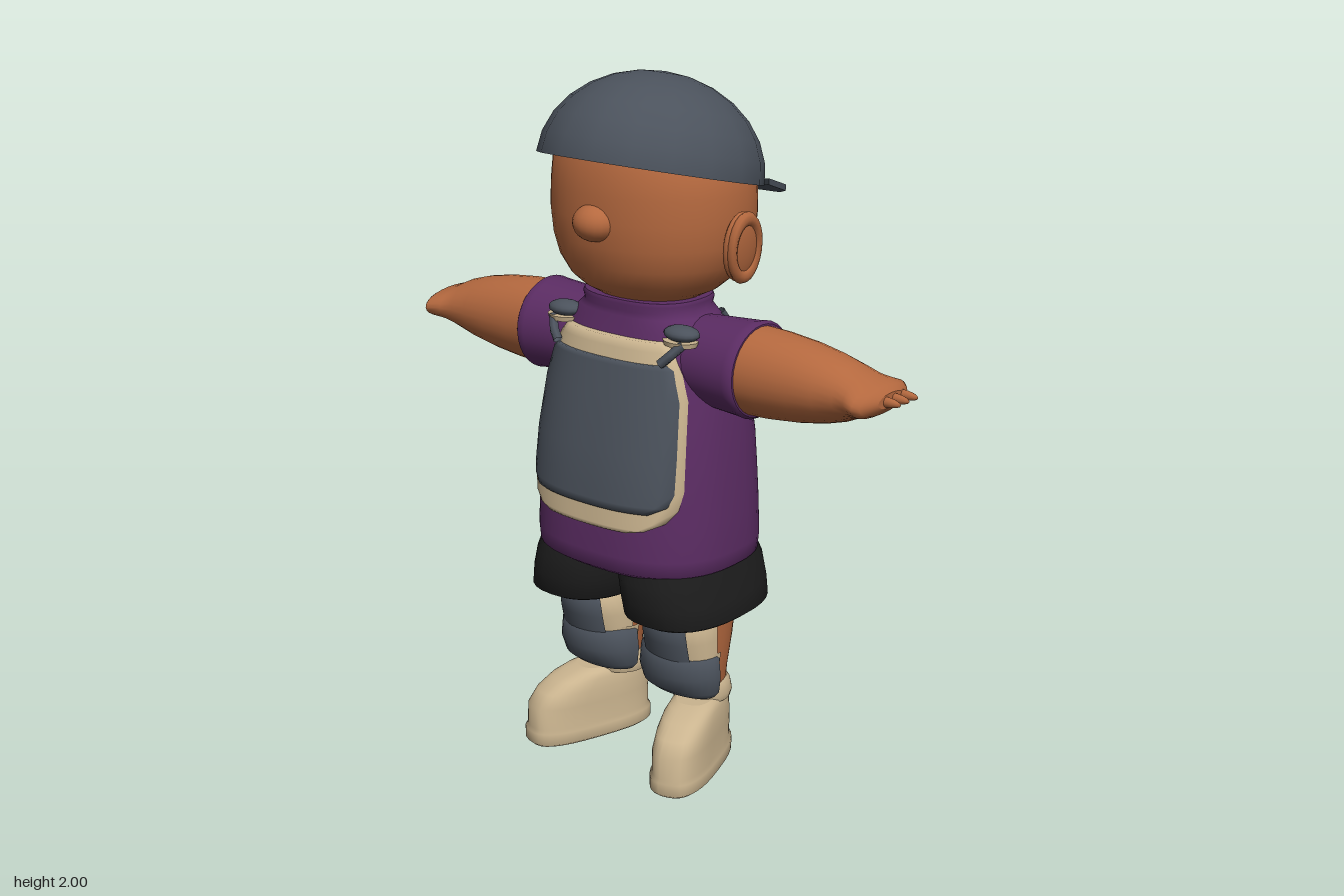
import * as THREE from 'three';

const mat = (name, color, side = THREE.FrontSide) => {
  const m = new THREE.MeshStandardMaterial({ color, side });
  m.name = name;
  return m;
};

// Superellipse point on the unit circle
const sup = (a, p) => {
  const c = Math.cos(a), s = Math.sin(a);
  return [Math.sign(c) * Math.abs(c) ** (2 / p), Math.sign(s) * Math.abs(s) ** (2 / p)];
};

function build(pos, idx) {
  const g = new THREE.BufferGeometry();
  g.setAttribute('position', new THREE.Float32BufferAttribute(pos, 3));
  g.setIndex(idx);
  g.computeVertexNormals();
  return g;
}

// Closed loft up the y axis; sections are [y, rx, rz, cx, cz]
function loft(sections, n = 32, p = 2) {
  const pos = [], idx = [], k = sections.length;
  const ring = ([y, rx, rz, cx = 0, cz = 0]) => {
    for (let j = 0; j < n; j++) {
      const [c, s] = sup((j / n) * Math.PI * 2, p);
      pos.push(cx + rx * c, y, cz + rz * s);
    }
  };
  sections.forEach(ring);
  for (let i = 0; i < k - 1; i++) for (let j = 0; j < n; j++) {
    const a = i * n + j, b = i * n + (j + 1) % n;
    idx.push(a, a + n, b, b, a + n, b + n);
  }
  for (const [s, top] of [[sections[0], false], [sections[k - 1], true]]) {
    const o = pos.length / 3;
    ring(s);
    pos.push(s[3] || 0, s[0], s[4] || 0);
    for (let j = 0; j < n; j++) {
      const a = o + j, b = o + (j + 1) % n;
      if (top) idx.push(a, o + n, b); else idx.push(a, b, o + n);
    }
  }
  return build(pos, idx);
}

// Open grid facing +z; fn(row, column) gives a point, columns run to +x, rows run down
function patch(rows, cols, fn) {
  const pos = [], idx = [];
  for (let i = 0; i < rows; i++) for (let j = 0; j < cols; j++) pos.push(...fn(i, j));
  for (let i = 0; i < rows - 1; i++) for (let j = 0; j < cols - 1; j++) {
    const a = i * cols + j, b = a + cols;
    idx.push(a, b, a + 1, a + 1, b, b + 1);
  }
  return build(pos, idx);
}

// Mirror a geometry across x = 0
function mirrored(geo) {
  const g = geo.clone().scale(-1, 1, 1), ix = g.index.array;
  for (let i = 0; i < ix.length; i += 3) [ix[i], ix[i + 1]] = [ix[i + 1], ix[i]];
  g.computeVertexNormals();
  return g;
}

const TORSO_P = 2.5;
const TORSO = [
  [0.64, 0.295, 0.24, 0, 0.09], [0.655, 0.316, 0.26, 0, 0.092], [0.7, 0.32, 0.263, 0, 0.092],
  [0.8, 0.317, 0.257, 0, 0.09], [0.9, 0.312, 0.249, 0, 0.088], [1.0, 0.305, 0.24, 0, 0.085],
  [1.15, 0.29, 0.21, 0, 0.08], [1.25, 0.27, 0.182, 0, 0.082], [1.32, 0.24, 0.157, 0, 0.087],
  [1.355, 0.2, 0.146, 0, 0.088], [1.37, 0.182, 0.143, 0, 0.088], [1.39, 0.187, 0.147, 0, 0.088], [1.4, 0.182, 0.143, 0, 0.088],
];

// Depth of the shirt surface at (x, y); side is 1 for front, -1 for back
function torsoZ(x, y, side = 1) {
  let i = 0;
  while (i < TORSO.length - 2 && TORSO[i + 1][0] < y) i++;
  const A = TORSO[i], B = TORSO[i + 1], t = (y - A[0]) / (B[0] - A[0]);
  const [rx, rz, cz] = [1, 2, 4].map(k => A[k] + (B[k] - A[k]) * t);
  const q = Math.min(1, Math.abs(x) / rx);
  return cz + side * rz * (1 - q ** TORSO_P) ** (1 / TORSO_P);
}

// Plate that follows the shirt front; profile rows are [y, halfWidth]
function chestPlate(profile, off) {
  const cols = 23, pr = [profile[0], ...profile, profile[profile.length - 1]];
  return patch(pr.length, cols, (i, j) => {
    const edge = i === 0 || j === 0 || i === pr.length - 1 || j === cols - 1;
    const u = THREE.MathUtils.clamp((j - 1) / (cols - 3), 0, 1) * 2 - 1;
    const [y, w] = pr[i];
    return [u * w, y, torsoZ(u * w, y) + (edge ? -0.03 : off)];
  });
}

// Half shell around the front of a leg; rows are [y, rx, rz], top to bottom
const shell = (rows, cx, cz, spread) => patch(rows.length, 17, (i, j) => {
  const a = (j / 8 - 1) * spread, [y, rx, rz] = rows[i];
  return [cx + rx * Math.sin(a), y, cz + rz * Math.cos(a)];
});

const tube = (pts, r) => new THREE.TubeGeometry(
  new THREE.CatmullRomCurve3(pts.map(p => new THREE.Vector3(...p)), false, 'catmullrom', 0.1), 16, r, 6);

export function createModel() {
  const root = new THREE.Group();
  root.name = 'boyFigure';
  const skin = mat('skin', 0xb5693f), slate = mat('slate', 0x4b525c, THREE.DoubleSide);
  const purple = mat('purple', 0x5b2c63), tan = mat('tan', 0xcab48f, THREE.DoubleSide);
  const black = mat('black', 0x1c1c1c);
  const add = (name, geo, m) => {
    const mesh = new THREE.Mesh(geo, m);
    mesh.name = name;
    root.add(mesh);
  };
  const pair = (name, geo, m) => {
    add(name + 'Left', geo, m);
    add(name + 'Right', mirrored(geo), m);
  };

  // Head, nose and ears
  add('head', loft([
    [1.37, 0.13, 0.11, 0, 0.085], [1.4, 0.16, 0.135, 0, 0.08], [1.42, 0.2, 0.17, 0, 0.077],
    [1.45, 0.235, 0.205, 0, 0.074], [1.5, 0.27, 0.236, 0, 0.068], [1.56, 0.288, 0.254, 0, 0.065],
    [1.63, 0.295, 0.26, 0, 0.065], [1.7, 0.293, 0.258, 0, 0.065], [1.77, 0.283, 0.248, 0, 0.07],
    [1.85, 0.235, 0.21, 0, 0.08], [1.92, 0.12, 0.11, 0, 0.09],
  ], 40, 2.1), skin);
  add('nose', new THREE.SphereGeometry(1, 20, 14).scale(0.065, 0.052, 0.06).translate(0, 1.625, 0.307), skin);
  const place = g => g.rotateX(0.15).rotateZ(-0.12).translate(0.3, 1.56, 0.062);
  pair('ear', place(new THREE.SphereGeometry(1, 20, 14).scale(0.026, 0.1, 0.07)), skin);
  pair('earRim', place(new THREE.TorusGeometry(0.055, 0.014, 8, 24).rotateY(Math.PI / 2)
    .scale(1, 1.5, 1).translate(0.014, 0, 0)), skin);

  // Cap worn backwards
  add('capDome', new THREE.SphereGeometry(1, 18, 7, 0, Math.PI * 2, 0, Math.PI / 2)
    .scale(0.312, 0.265, 0.32).rotateX(-0.236).translate(0, 1.735, 0.078), slate);
  const outer = [[0.24, 0.14], [0.21, 0.26], [0.12, 0.355], [0, 0.388]];
  const inner = [[-0.17, 0.195], [-0.09, 0.23], [0, 0.242], [0.09, 0.23], [0.17, 0.195]];
  const outline = [...outer, ...outer.slice(0, 3).reverse().map(([x, y]) => [-x, y]), ...inner];
  const brim = new THREE.ExtrudeGeometry(
    new THREE.Shape(outline.map(p => new THREE.Vector2(...p))), { depth: 0.018, bevelEnabled: false });
  brim.rotateX(-Math.PI / 2);
  const bp = brim.attributes.position;
  for (let i = 0; i < bp.count; i++) bp.setY(i, bp.getY(i) + 1.688 + (bp.getZ(i) + 0.135) * 0.34);
  brim.computeVertexNormals();
  add('capBrim', brim, slate);

  // Shirt and shorts
  add('shirt', loft(TORSO, 48, TORSO_P), purple);
  const alongX = (s, n, p) => loft(s, n, p).rotateZ(-Math.PI / 2).translate(0, 1.235, 0);
  pair('sleeve', alongX([
    [0.1, 0.115, 0.11, 0, 0.085], [0.22, 0.124, 0.13, 0, 0.083], [0.36, 0.133, 0.14, 0, 0.081],
    [0.38, 0.136, 0.142, 0, 0.081], [0.39, 0.128, 0.132, 0, 0.081],
  ]), purple);
  pair('shortsLeg', loft([
    [0.495, 0.15, 0.215, 0.178, 0.088], [0.505, 0.165, 0.233, 0.176, 0.088], [0.56, 0.166, 0.237, 0.167, 0.088],
    [0.62, 0.162, 0.237, 0.155, 0.088], [0.68, 0.15, 0.21, 0.15, 0.088],
  ], 32, 2.4), black);

  // Arms, mitten hands and fingers
  pair('arm', alongX([
    [0.37, 0.124, 0.125, 0, 0.083], [0.45, 0.121, 0.121, 0, 0.083], [0.55, 0.11, 0.114, 0, 0.083],
    [0.63, 0.094, 0.107, 0, 0.083], [0.69, 0.076, 0.1, 0, 0.083], [0.73, 0.057, 0.108, 0, 0.083],
    [0.77, 0.045, 0.127, 0, 0.083], [0.785, 0.037, 0.11, 0, 0.083], [0.8, 0.02, 0.06, 0, 0.07],
  ], 28), skin);
  [0.015, 0.055, 0.095].forEach((z, i) => pair('finger' + (i + 1),
    new THREE.SphereGeometry(1, 12, 8).scale(0.05, 0.014, 0.012).translate(0.796, 1.235, z), skin));

  // Chest guard
  add('chestGuardBorder', chestPlate([
    [1.305, 0.17], [1.28, 0.195], [1.22, 0.225], [1.15, 0.246], [1.0, 0.258], [0.9, 0.262],
    [0.85, 0.254], [0.815, 0.23], [0.795, 0.19], [0.785, 0.14],
  ], 0.02), tan);
  add('chestGuardPanel', chestPlate([
    [1.248, 0.195], [1.235, 0.213], [1.15, 0.238], [1.0, 0.25], [0.9, 0.252], [0.865, 0.24], [0.845, 0.2],
  ], 0.028), slate);

  // Shoulder tabs, buckles and back strap
  pair('shoulderTab', new THREE.SphereGeometry(1, 16, 10).scale(0.055, 0.022, 0.04).translate(0.21, 1.332, 0.2), slate);
  pair('shoulderTabTrim', new THREE.CylinderGeometry(0.054, 0.05, 0.014, 16).scale(1, 1, 0.75).translate(0.21, 1.308, 0.205), tan);
  pair('buckle', tube([[0.235, 1.31, 0.225], [0.21, 1.28, 0.25], [0.185, 1.255, 0.262]], 0.014), slate);
  const back = (x, y) => [x, y, torsoZ(x, y, -1) - 0.006];
  pair('backStrap', tube([[0.185, 1.35, 0.0], back(0.19, 1.27), back(0.1, 1.205), back(0, 1.135)], 0.012), slate);

  // Legs and knee guards
  pair('leg', loft([
    [0.22, 0.08, 0.075, 0.16, 0.06], [0.3, 0.095, 0.092, 0.16, 0.075], [0.4, 0.108, 0.112, 0.16, 0.078],
    [0.52, 0.118, 0.13, 0.16, 0.08],
  ], 28), skin);
  pair('kneeGuardBorder', shell([[0.492, 0.09, 0.08], [0.482, 0.115, 0.125], [0.42, 0.118, 0.113], [0.36, 0.118, 0.095]],
    0.158, 0.12, 1.6), tan);
  pair('kneeGuardCap', shell([[0.493, 0.095, 0.09], [0.484, 0.12, 0.131], [0.42, 0.124, 0.119], [0.36, 0.124, 0.101]],
    0.158, 0.12, 0.72), slate);
  pair('shinGuard', shell([[0.375, 0.105, 0.08], [0.368, 0.132, 0.104], [0.31, 0.138, 0.108], [0.26, 0.132, 0.085],
    [0.24, 0.115, 0.06], [0.232, 0.08, 0.03]], 0.153, 0.12, 1.57), slate);
  pair('shinStrap', shell([[0.38, 0.126, 0.09], [0.24, 0.11, 0.05]], 0.153, 0.108, 1.6), tan);

  // Shoes, turned outwards, with ankle cuffs
  pair('ankleCuff', loft([[0.2, 0.092, 0.08, 0.16, 0.05], [0.22, 0.098, 0.085, 0.16, 0.05],
    [0.25, 0.094, 0.082, 0.16, 0.053], [0.265, 0.085, 0.075, 0.16, 0.055]], 24), tan);
  pair('shoe', loft([
    [0, 0.074, 0.193], [0.01, 0.086, 0.204], [0.045, 0.086, 0.204], [0.055, 0.079, 0.197],
    [0.12, 0.08, 0.196, 0, -0.002], [0.16, 0.077, 0.18, 0, -0.016], [0.19, 0.073, 0.153, 0, -0.038],
    [0.207, 0.066, 0.125, 0, -0.06], [0.215, 0.055, 0.1, 0, -0.07],
  ], 36, 2.8).rotateY(0.32).translate(0.2, 0, 0.14), tan);

  return root;
}
